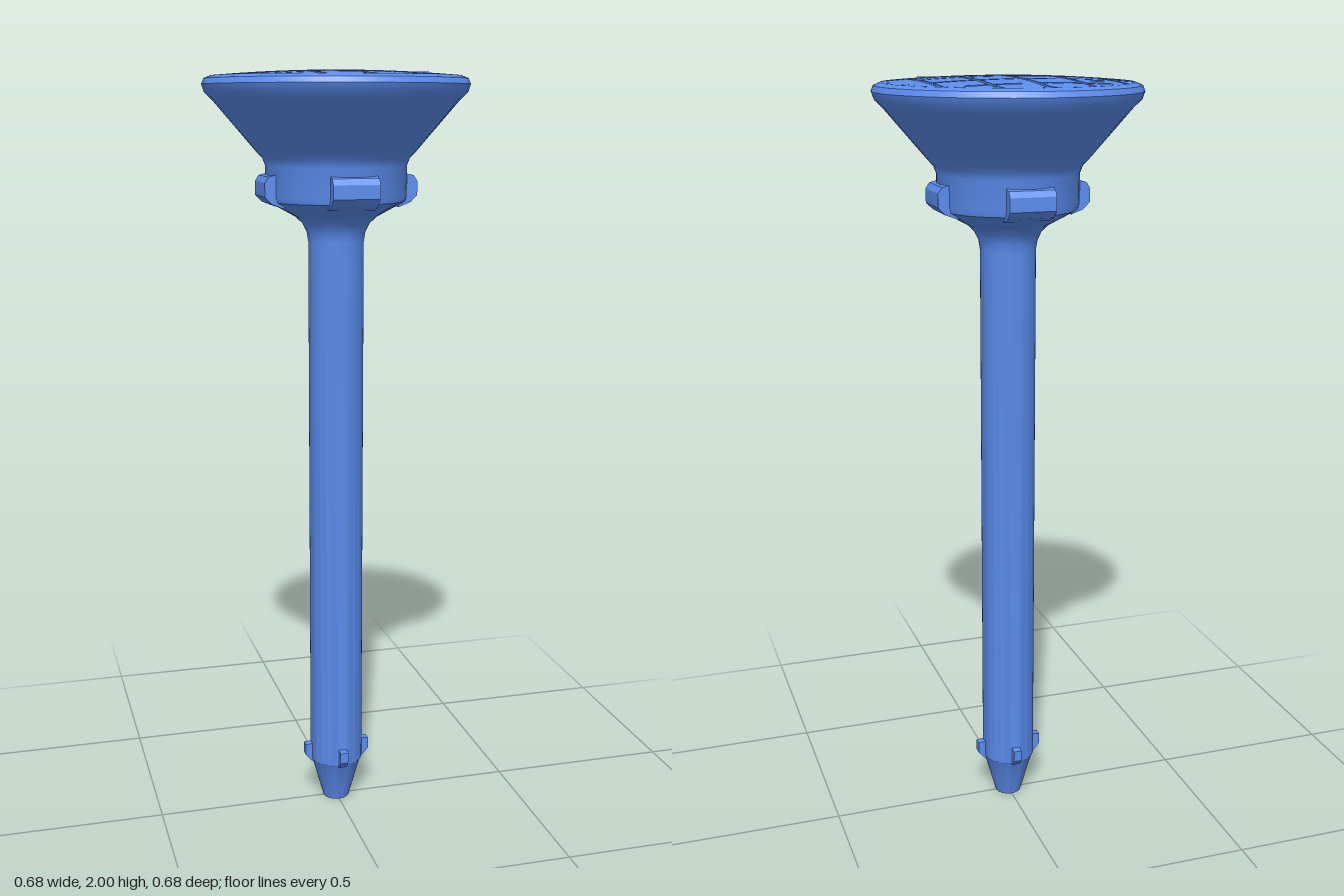
import * as THREE from 'three';
import { toCreasedNormals } from 'three/addons/utils/BufferGeometryUtils.js';
import { ConvexGeometry } from 'three/addons/geometries/ConvexGeometry.js';

const RIM = 0.317, FLOOR = 1.986, DOME = 0.014, HALF = 0.006;

export function createModel() {
  const model = new THREE.Group();
  const material = new THREE.MeshStandardMaterial({ color: 0x5b8def });

  function add(name, geometry, parent = model) {
    const mesh = new THREE.Mesh(geometry, material);
    mesh.name = name;
    parent.add(mesh);
    return mesh;
  }

  function group(name) {
    const g = new THREE.Group();
    g.name = name;
    model.add(g);
    return g;
  }

  function lathe(name, points) {
    const profile = points.map(([r, y]) => new THREE.Vector2(r, y));
    return add(name, toCreasedNormals(new THREE.LatheGeometry(profile, 48), 0.5));
  }

  // Slim shaft with a tapered tip
  lathe('shaft', [[0, 0], [0.036, 0], [0.068, 0.115], [0.072, 0.12], [0.072, 1.57],
    [0.076, 1.595], [0.087, 1.618], [0.105, 1.635]]);

  // Flared head: lower taper, collar, cone, rounded rim and recessed floor
  lathe('head', [[0.105, 1.635], [0.178, 1.675], [0.182, 1.69], [0.182, 1.765],
    [0.189, 1.783], [0.205, 1.8], [0.315, 1.928], [0.333, 1.945], [0.34, 1.965],
    [0.334, 1.979], [RIM, FLOOR], [0, FLOOR]]);

  // A radial wedge, drawn as radius against height and given a width
  function wedge(points, width) {
    const shape = new THREE.Shape(points.map(([r, y]) => new THREE.Vector2(r, y)));
    const geometry = new THREE.ExtrudeGeometry(shape, { depth: width, bevelEnabled: false });
    return geometry.translate(0, 0, -width / 2);
  }

  // Four lugs on the collar and four small barbs near the tip
  const lugs = group('collarLugs');
  const barbs = group('tipBarbs');
  const lugGeometry = wedge([[0.15, 1.66], [0.182, 1.672], [0.2, 1.69], [0.2, 1.725],
    [0.19, 1.74], [0.15, 1.75]], 0.12);
  const barbGeometry = wedge([[0.05, 0.115], [0.074, 0.115], [0.091, 0.135],
    [0.091, 0.165], [0.05, 0.17]], 0.022);
  for (let i = 0; i < 4; i++) {
    add('collarLug', lugGeometry, lugs).rotation.y = i * Math.PI / 2;
    add('tipBarb', barbGeometry, barbs).rotation.y = i * Math.PI / 2;
  }

  // Height of the domed top at a point
  const domeY = (x, z) => FLOOR + DOME * (1 - (x * x + z * z) / (RIM * RIM));

  // A piece of the domed top: a rectangle trimmed by the rim circle
  function domePiece(name, x0, x1, z0, z1, parent) {
    const points = [];
    const put = (x, z) => points.push(
      new THREE.Vector3(x, domeY(x, z), z), new THREE.Vector3(x, FLOOR - 0.004, z));
    const steps = 4;
    for (let i = 0; i <= steps; i++) {
      for (let j = 0; j <= steps; j++) {
        const x = x0 + (x1 - x0) * i / steps, z = z0 + (z1 - z0) * j / steps;
        if (Math.hypot(x, z) < RIM - 0.002) put(x, z);
      }
    }
    for (let i = 0; i < 96; i++) {
      const a = i * Math.PI / 48, x = RIM * Math.cos(a), z = RIM * Math.sin(a);
      if (x >= x0 && x <= x1 && z >= z0 && z <= z1) put(x, z);
    }
    if (points.length >= 8) add(name, toCreasedNormals(new ConvexGeometry(points), 0.5), parent);
  }

  // Tiles of the top, parted by a grid of shallow grooves
  const tiles = group('topTiles');
  const lines = [-0.231, -0.115, 0, 0.115, 0.231];
  const spans = [];
  for (let i = 0; i <= lines.length; i++) {
    spans.push([i ? lines[i - 1] + HALF : -RIM, i < lines.length ? lines[i] - HALF : RIM]);
  }
  for (const [x0, x1] of spans) {
    for (const [z0, z1] of spans) domePiece('topTile', x0, x1, z0, z1, tiles);
  }

  // Bridges where the grooves are interrupted
  const bridges = group('grooveBridges');
  const alongX = [[0.006, 0.04, 0], [0.18, 0.22, 0], [-0.22, -0.185, 0], [0.006, 0.022, 1],
    [0.237, 0.31, 1], [0.006, 0.022, 2], [0.237, 0.3, 2], [0.006, 0.035, 3],
    [0.237, 0.31, 3], [0.006, 0.125, 4], [0.183, 0.22, 4]];
  for (const [x0, x1, row] of alongX) {
    domePiece('grooveBridge', x0, x1, lines[row] - HALF, lines[row] + HALF, bridges);
  }
  domePiece('grooveBridge', lines[3] - HALF, lines[3] + HALF, 0.215, 0.3, bridges);

  // Two small round marks on opposite sides of the top
  for (const s of [-1, 1]) {
    const mark = add('roundMark', new THREE.CylinderGeometry(0.018, 0.018, 0.008, 24));
    mark.position.set(s * 0.17, domeY(0.17, 0.17) - 0.0025, s * 0.17);
  }

  return model;
}
